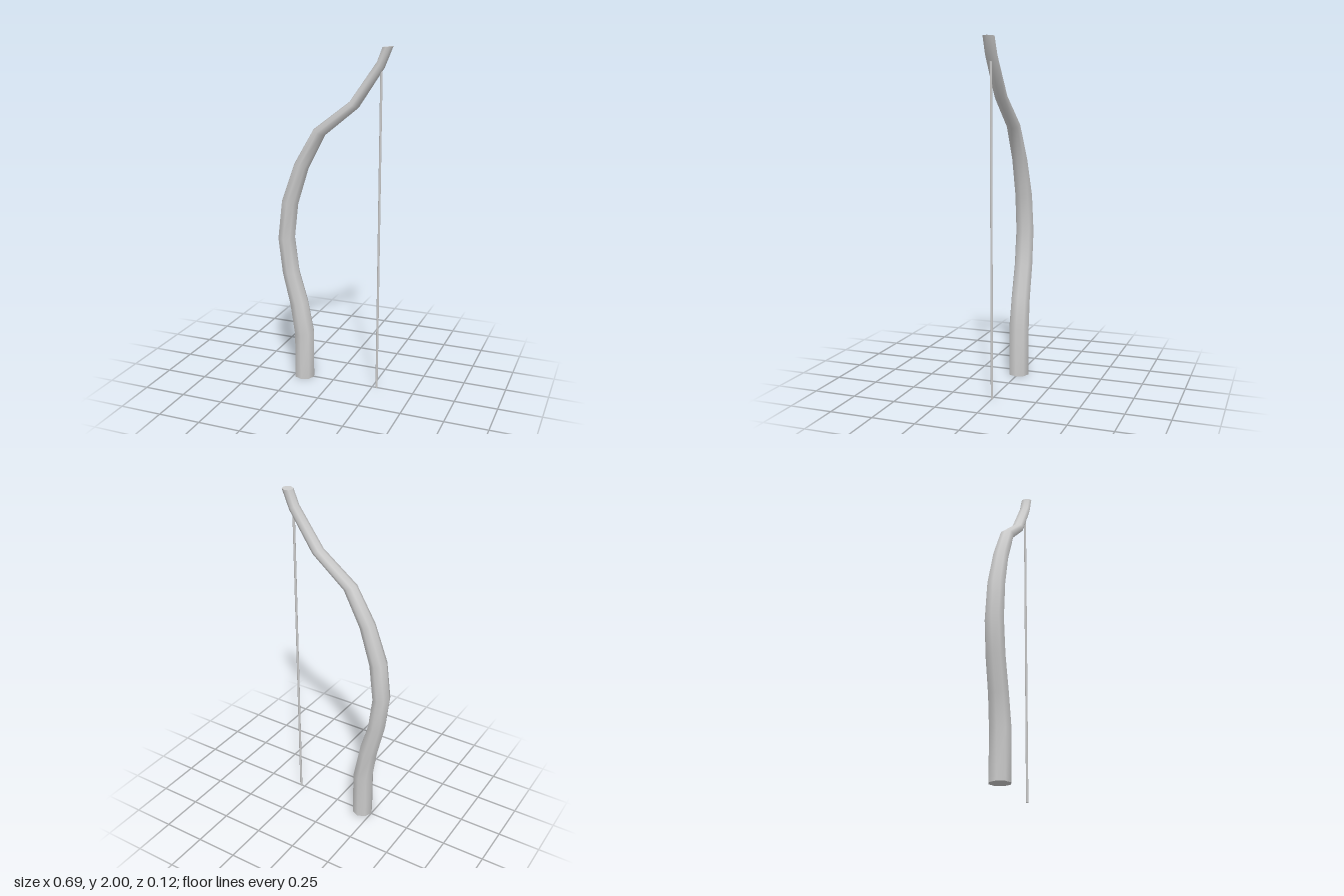
import * as THREE from 'three';

const SIDES = 8;

// Limb sections: outer edge x, y, inner edge x, y, half depth in z
const SECTIONS = [
  [-0.249, 0, -0.126, 0, 0.062],
  [-0.249, 0.28, -0.126, 0.29, 0.062],
  [-0.275, 0.46, -0.165, 0.485, 0.058],
  [-0.322, 0.66, -0.22, 0.67, 0.056],
  [-0.348, 0.875, -0.245, 0.87, 0.055],
  [-0.322, 1.1, -0.22, 1.085, 0.053],
  [-0.24, 1.325, -0.153, 1.3, 0.047],
  [-0.12, 1.53, -0.05, 1.5, 0.042],
  [0.095, 1.695, 0.15, 1.665, 0.038],
  [0.25, 1.915, 0.295, 1.885, 0.035],
  [0.281, 1.995, 0.342, 2, 0.034],
];

// One octagonal ring spanning the outer and inner edge points
function ring([lx, ly, rx, ry, depth]) {
  return Array.from({ length: SIDES }, (_, j) => {
    const a = (j / SIDES) * Math.PI * 2;
    const t = (1 + Math.cos(a)) / 2;
    return [lx + (rx - lx) * t, ly + (ry - ly) * t, Math.sin(a) * depth];
  });
}

function buildGeometry(points, index) {
  const geometry = new THREE.BufferGeometry();
  geometry.setAttribute('position', new THREE.Float32BufferAttribute(points.flat(), 3));
  geometry.setIndex(index);
  geometry.computeVertexNormals();
  return geometry;
}

// Smooth skin through all the rings
function limbGeometry() {
  const index = [];
  for (let i = 0; i < SECTIONS.length - 1; i++) {
    for (let j = 0; j < SIDES; j++) {
      const a = i * SIDES + j;
      const b = i * SIDES + ((j + 1) % SIDES);
      index.push(a, a + SIDES, b, b, a + SIDES, b + SIDES);
    }
  }
  return buildGeometry(SECTIONS.flatMap(ring), index);
}

// Flat end with its own vertices, so its rim stays sharp
function capGeometry(section, facesUp) {
  const index = [];
  for (let j = 1; j < SIDES - 1; j++) {
    index.push(0, ...(facesUp ? [j + 1, j] : [j, j + 1]));
  }
  return buildGeometry(ring(section), index);
}

export function createModel() {
  const group = new THREE.Group();
  group.name = 'bowHalf';
  const material = new THREE.MeshStandardMaterial({ color: 0xcccccc });
  const add = (name, geometry) => {
    const mesh = new THREE.Mesh(geometry, material);
    mesh.name = name;
    group.add(mesh);
    return mesh;
  };

  // Curved limb rising from the grip, with closed ends
  add('limb', limbGeometry());
  add('gripEnd', capGeometry(SECTIONS[0], false));
  add('limbTip', capGeometry(SECTIONS[SECTIONS.length - 1], true));

  // Straight string hanging from the tip
  const length = 1.87;
  add('string', new THREE.CylinderGeometry(0.007, 0.007, length, 8)).position.set(0.277, length / 2, 0);

  return group;
}
